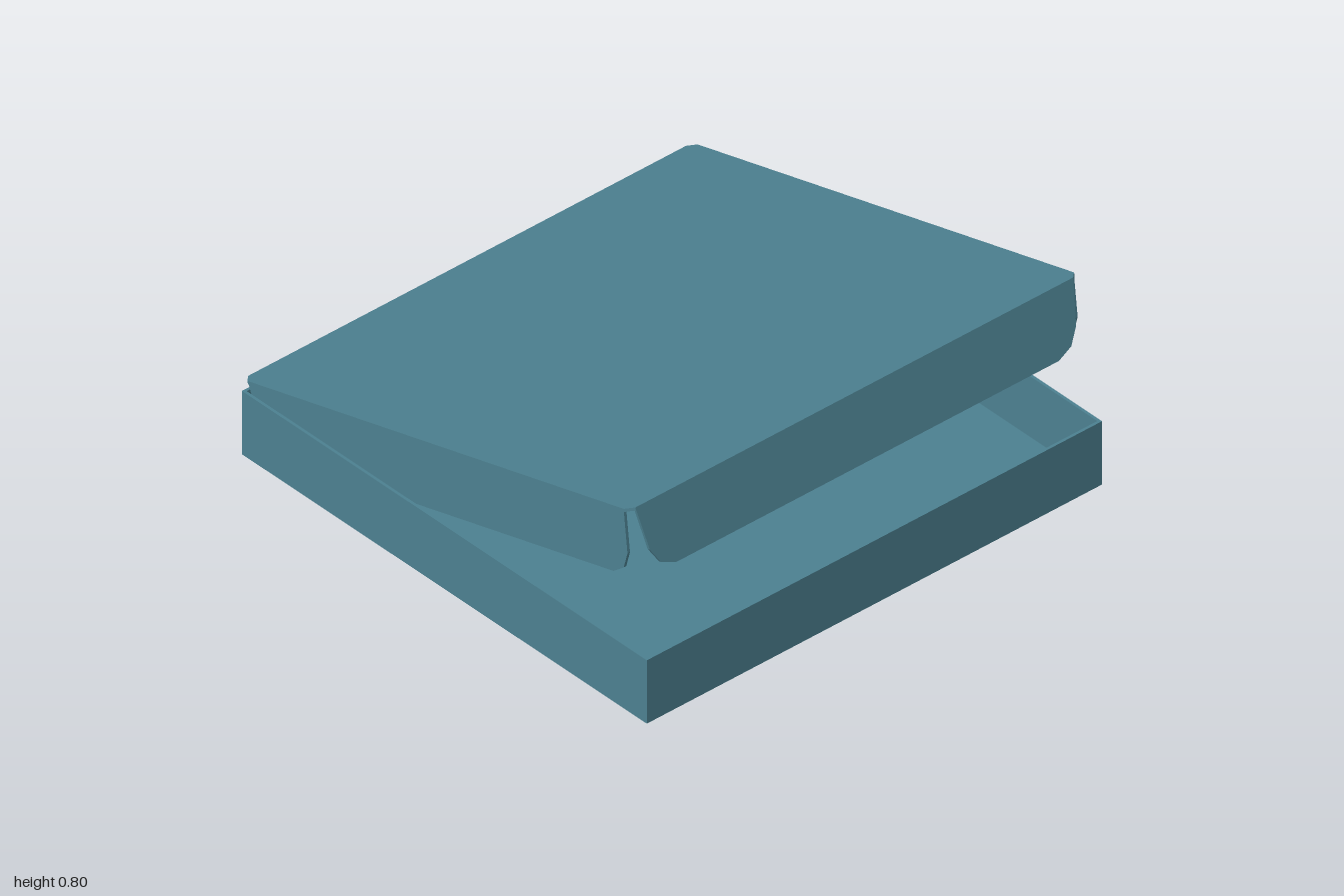
import * as THREE from 'three';

const T = 0.011;        // board thickness
const W = 0.982;        // lid half width
const L = 1.968;        // lid depth
const NOTCH = 0.027;    // trimmed lid corners

export function createModel() {
  const model = new THREE.Group();
  model.name = 'hingedBox';
  const card = new THREE.MeshStandardMaterial({ color: 0x4c8090, flatShading: true });

  const add = (parent, name, geometry, x = 0, y = 0, z = 0, turn = 0) => {
    const mesh = new THREE.Mesh(geometry, card);
    mesh.name = name;
    mesh.position.set(x, y, z);
    mesh.rotation.y = turn;
    parent.add(mesh);
    return mesh;
  };
  const sheet = (points, depth = T, hole) => {
    const shape = new THREE.Shape(points.map(([x, y]) => new THREE.Vector2(x, y)));
    if (hole) shape.holes.push(new THREE.Path(hole.map(([x, y]) => new THREE.Vector2(x, y))));
    return new THREE.ExtrudeGeometry(shape, { depth, bevelEnabled: false });
  };
  const rect = (x, z) => [[-x, -z], [x, -z], [x, z], [-x, z]];

  // Open tray: floor and a ring of four walls
  const tray = new THREE.Group();
  tray.name = 'tray';
  model.add(tray);
  const bx = 0.993, bz = 0.994, h = 0.256;
  add(tray, 'trayFloor', new THREE.BoxGeometry(2 * (bx - T), T, 2 * (bz - T)), 0, T / 2, 0.006);
  const walls = sheet(rect(bx, bz), h, rect(bx - T, bz - T));
  walls.rotateX(-Math.PI / 2);
  add(tray, 'trayWalls', walls, 0, 0, 0.006);

  // Raised lid, pivoting on the back edge
  const lid = new THREE.Group();
  lid.name = 'lid';
  lid.position.set(0, 0.292, -1);
  lid.rotation.x = -THREE.MathUtils.degToRad(15);
  model.add(lid);

  const n = NOTCH, top = sheet([
    [-W + n, 0], [W - n, 0], [W, n], [W, L - n],
    [W - n, L], [-W + n, L], [-W, L - n], [-W, n],
  ]);
  top.rotateX(Math.PI / 2);
  add(lid, 'lidTop', top);

  // Flap with tapered ends and rounded lower corners, shared by all four sides
  const side = [[0.955, 0], [0.93, -0.165], [0.895, -0.225], [0.835, -0.252]];
  const flap = sheet([...side.map(([x, y]) => [-x, y]), ...side.slice().reverse()]);
  add(lid, 'frontFlap', flap, 0, 0, L - T);
  add(lid, 'leftFlap', flap, W - T, -0.004, L / 2, Math.PI / 2);
  add(lid, 'rightFlap', flap, -W + T, -0.004, L / 2, -Math.PI / 2);

  // Back flap hangs upright against the outside of the tray
  const back = add(model, 'backFlap', flap, 0, 0.292, -1);
  back.scale.set(1, 0.955, 1);
  return model;
}
